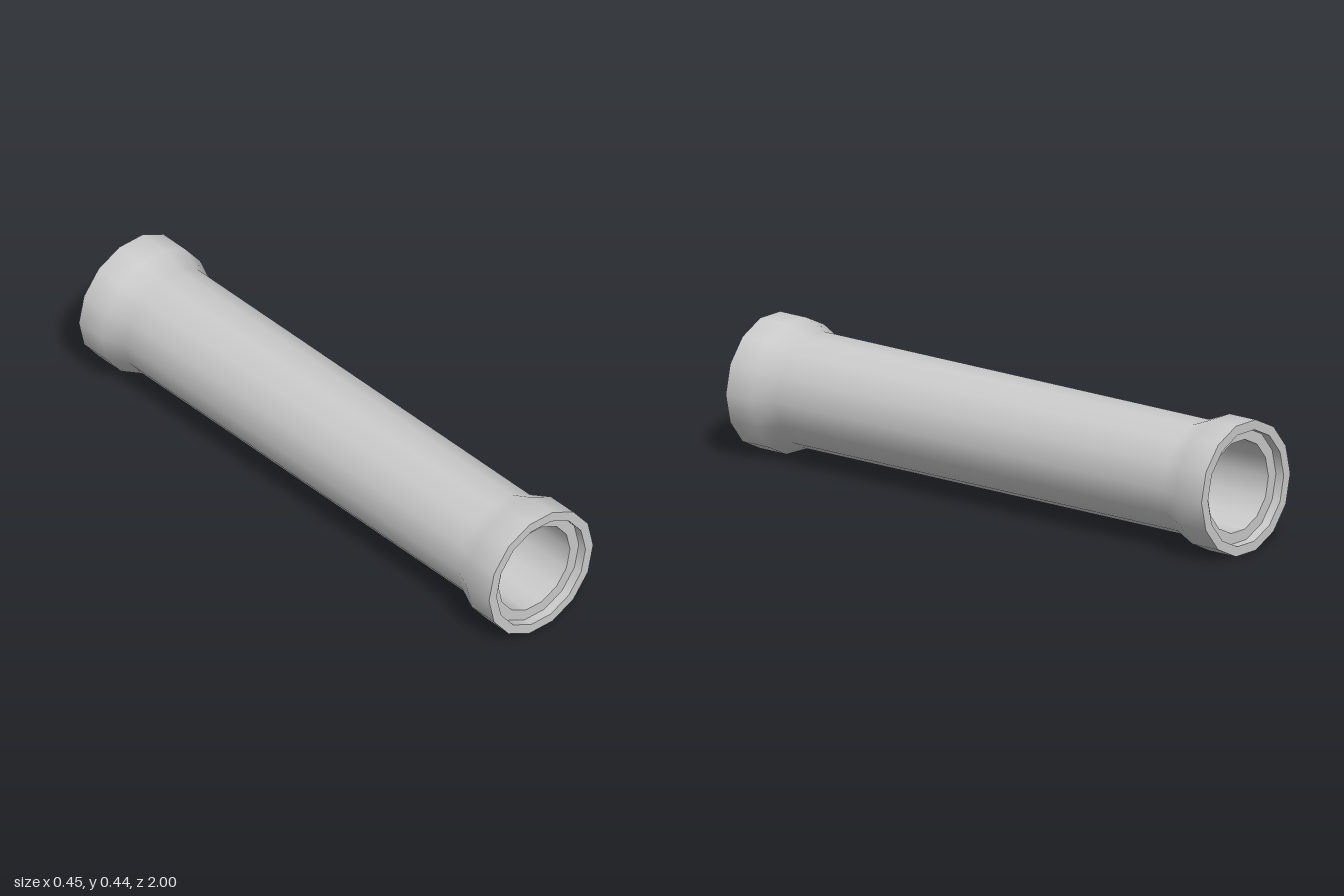
import * as THREE from 'three';

const SIDES = 14;
const OUTER = 0.226;   // flared collar radius
const BODY = 0.193;    // tube radius, also the socket radius
const BORE = 0.155;    // through-hole radius
const DEPTH = 0.033;   // socket depth at each end
const CENTER_Y = OUTER * Math.cos(Math.PI / SIDES);

export function createModel() {
  const group = new THREE.Group();
  group.name = 'pipe';
  const material = new THREE.MeshStandardMaterial({ color: 0xcccccc });

  // Revolves [radius, z] points around the z axis; separate strips keep edges sharp
  const addStrip = (name, profile) => {
    const points = profile.map(([r, z]) => new THREE.Vector2(r, z));
    const geometry = new THREE.LatheGeometry(points, SIDES, Math.PI / 2);
    geometry.rotateX(Math.PI / 2);
    const mesh = new THREE.Mesh(geometry, material);
    mesh.name = name;
    mesh.position.y = CENTER_Y;
    group.add(mesh);
  };

  // Outer wall with a flared collar at both ends
  addStrip('outerWall', [
    [OUTER, -1], [OUTER, -0.89], [BODY, -0.81],
    [BODY, 0.81], [OUTER, 0.89], [OUTER, 1],
  ]);

  // Inner wall of the through-hole, facing the axis
  addStrip('bore', [[BORE, 1 - DEPTH], [BORE, -1 + DEPTH]]);

  // End rim, shallow socket wall and ledge, mirrored front and back
  for (const [label, s] of [['front', 1], ['back', -1]]) {
    const strip = (name, a, b) => addStrip(label + name, s > 0 ? [a, b] : [b, a]);
    strip('Rim', [OUTER, s], [BODY, s]);
    strip('SocketWall', [BODY, s], [BODY, s * (1 - DEPTH)]);
    strip('SocketLedge', [BODY, s * (1 - DEPTH)], [BORE, s * (1 - DEPTH)]);
  }

  return group;
}
